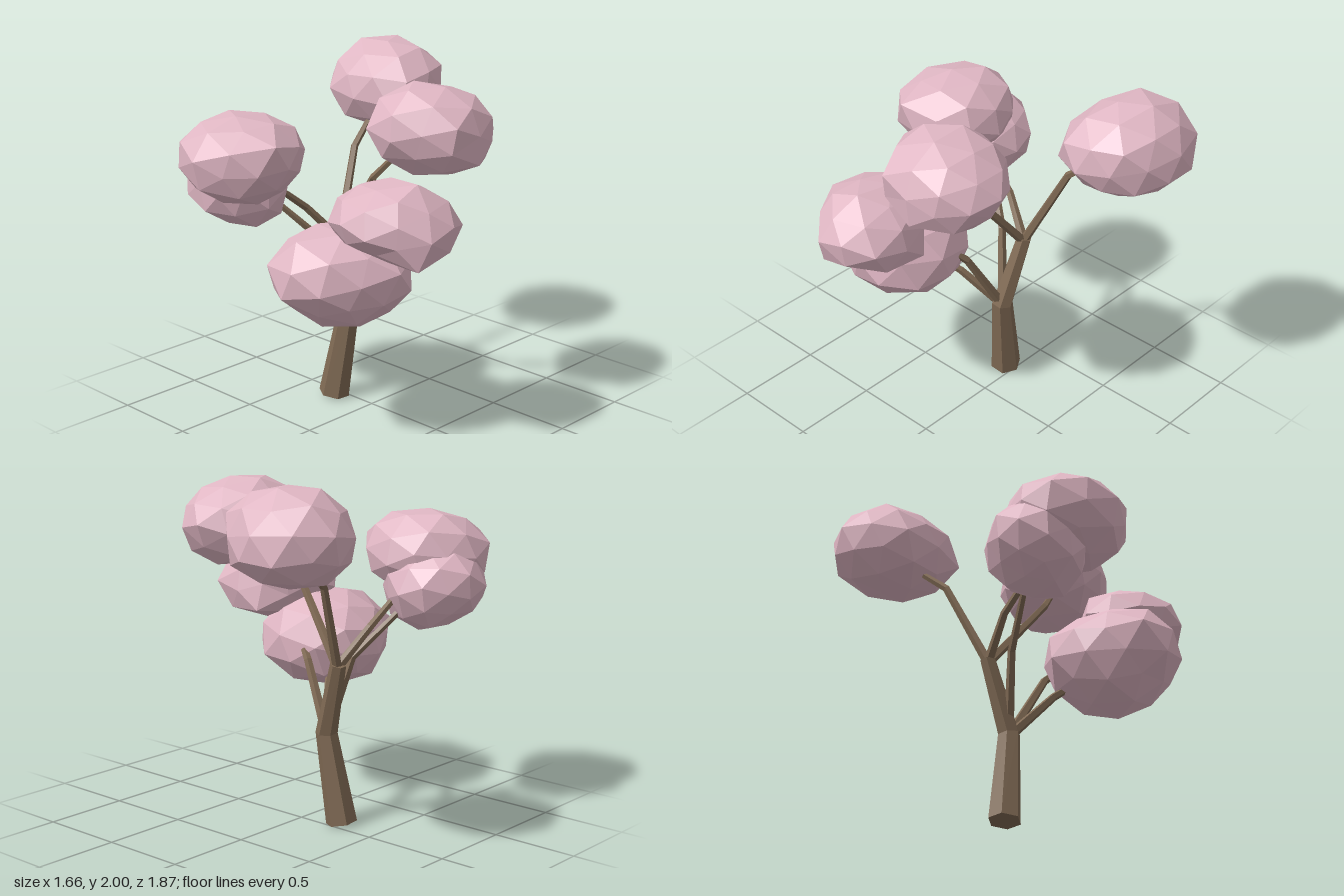
import * as THREE from 'three';
import { mergeVertices } from 'three/addons/utils/BufferGeometryUtils.js';

const bark = new THREE.MeshStandardMaterial({ name: 'bark', color: 0x806a54, flatShading: true });
const blossom = new THREE.MeshStandardMaterial({ name: 'blossom', color: 0xdfb6c3, flatShading: true });

function seeded(seed) {
  let s = seed * 7919 + 17;
  return () => (s = (s * 16807) % 2147483647) / 2147483647;
}

// Tapered faceted limb through a few points, each given as [x, y, z, radius]
function limb(name, points, sides) {
  const n = points.length - 1;
  const centres = points.map(([x, y, z]) => new THREE.Vector3(x, y, z));
  const geo = new THREE.CylinderGeometry(1, 1, n, sides, n);
  const pos = geo.attributes.position;
  const up = new THREE.Vector3(0, 1, 0);
  const turns = centres.map((c, i) => {
    const dir = centres[Math.min(i + 1, n)].clone().sub(centres[Math.max(i - 1, 0)]).normalize();
    return new THREE.Quaternion().setFromUnitVectors(up, dir);
  });
  const v = new THREE.Vector3();
  for (let k = 0; k < pos.count; k++) {
    v.fromBufferAttribute(pos, k);
    const i = Math.round(v.y + n / 2);
    v.y = 0;
    v.multiplyScalar(points[i][3]).applyQuaternion(turns[i]).add(centres[i]);
    pos.setXYZ(k, v.x, v.y, v.z);
  }
  const mesh = new THREE.Mesh(geo, bark);
  mesh.name = name;
  return mesh;
}

// Distance from the origin to a closed outline along the unit direction (a, b)
function reach(outline, a, b) {
  let far = 0;
  outline.forEach(([px, py], i) => {
    const [qx, qy] = outline[(i + 1) % outline.length];
    const ex = qx - px, ey = qy - py;
    const det = a * ey - b * ex;
    if (Math.abs(det) < 1e-9) return;
    const t = (px * ey - py * ex) / det;
    const s = (px * b - py * a) / det;
    if (s > -1e-6 && s < 1 + 1e-6) far = Math.max(far, t);
  });
  return far;
}

// Lumpy low-poly blossom cluster shaped by its outlines: front (x, y), side (z, y), top (x, z)
function cluster(name, seed, front, side, top) {
  const span = (outline, i) => {
    const c = outline.map((p) => p[i]);
    const lo = Math.min(...c), hi = Math.max(...c);
    return { mid: (lo + hi) / 2, half: (hi - lo) / 2 };
  };
  const X = span(front, 0), Y = span(front, 1), Z = span(side, 0);
  const unit = (outline, A, B) => outline.map(([a, b]) => [(a - A.mid) / A.half, (b - B.mid) / B.half]);
  const f = unit(front, X, Y), s = unit(side, Z, Y), t = unit(top, X, Z);

  let geo = new THREE.IcosahedronGeometry(1, 1);
  geo.deleteAttribute('uv');
  geo.deleteAttribute('normal');
  geo = mergeVertices(geo, 1e-3);
  geo.rotateY(seed * 1.3).rotateX(seed * 0.7);
  const rand = seeded(seed);
  const pos = geo.attributes.position;
  for (let k = 0; k < pos.count; k++) {
    const x = pos.getX(k), y = pos.getY(k), z = pos.getZ(k);
    // Each outline counts most for directions close to its own plane
    let sum = 0, weight = 0;
    for (const [outline, a, b] of [[f, x, y], [s, z, y], [t, x, z]]) {
      const flat = Math.hypot(a, b);
      if (flat < 0.1) continue;
      const w = flat ** 8;
      sum += w * Math.log(reach(outline, a / flat, b / flat));
      weight += w;
    }
    const r = Math.exp(sum / weight) * (1.03 + (rand() - 0.5) * 0.07);
    pos.setXYZ(k, X.mid + X.half * r * x, Y.mid + Y.half * r * y, Z.mid + Z.half * r * z);
  }
  geo.computeVertexNormals();
  const mesh = new THREE.Mesh(geo, blossom);
  mesh.name = name;
  return mesh;
}

export function createModel() {
  const tree = new THREE.Group();
  tree.name = 'blossomTree';

  // Crooked trunk with a fork at its bend and another at its top
  tree.add(limb('trunk', [
    [-0.25, 0.01, 0.06, 0.09], [-0.17, 0.53, 0.02, 0.063], [-0.295, 0.95, -0.03, 0.045],
  ], 6));

  // Branches
  const branches = {
    lowFrontBranch: [[-0.17, 0.52, 0.02, 0.03], [-0.02, 0.75, 0.21, 0.023], [0.12, 0.9, 0.4, 0.017]],
    lowLeftBranch: [[-0.17, 0.52, 0.02, 0.03], [0.04, 0.9, 0.1, 0.023], [0.36, 1.22, 0.28, 0.016]],
    lowRightBranch: [[-0.17, 0.52, 0.02, 0.03], [-0.27, 0.96, 0.12, 0.023], [-0.47, 1.28, 0.4, 0.016]],
    highFrontBranch: [[-0.29, 0.93, -0.03, 0.028], [-0.37, 1.14, 0.15, 0.022], [-0.42, 1.4, 0.48, 0.016]],
    highLeftBranch: [[-0.29, 0.93, -0.03, 0.028], [0.08, 1.39, 0.07, 0.021], [0.27, 1.6, 0, 0.015]],
    highBackBranch: [[-0.29, 0.93, -0.03, 0.028], [-0.39, 1.42, -0.26, 0.022], [-0.44, 1.62, -0.5, 0.016]],
  };
  for (const [name, points] of Object.entries(branches)) tree.add(limb(name, points, 5));

  // Blossom clusters at the branch ends
  tree.add(cluster('backCluster', 1,
    [[-0.83, 1.72], [-0.77, 1.86], [-0.67, 2], [-0.29, 1.97], [-0.12, 1.87], [-0.09, 1.68], [-0.2, 1.54], [-0.45, 1.46], [-0.72, 1.53]],
    [[-0.44, 1.96], [-0.82, 2], [-0.87, 1.84], [-0.94, 1.72], [-0.91, 1.58], [-0.6, 1.46], [-0.38, 1.52], [-0.28, 1.7]],
    [[-0.83, -0.72], [-0.69, -0.9], [-0.49, -0.94], [-0.2, -0.81], [-0.09, -0.48], [-0.24, -0.3], [-0.59, -0.28], [-0.77, -0.43]]));
  tree.add(cluster('frontRightCluster', 2,
    [[-0.76, 1.54], [-0.67, 1.69], [-0.56, 1.76], [-0.34, 1.76], [-0.03, 1.65], [-0.03, 1.52], [-0.18, 1.32], [-0.42, 1.26], [-0.68, 1.34]],
    [[0.93, 1.66], [0.57, 1.76], [0.35, 1.7], [0.24, 1.52], [0.35, 1.35], [0.6, 1.26], [0.71, 1.27], [0.91, 1.41]],
    [[-0.76, 0.75], [-0.53, 0.92], [-0.38, 0.93], [-0.2, 0.85], [-0.03, 0.73], [-0.03, 0.6], [-0.18, 0.33], [-0.38, 0.23], [-0.62, 0.35], [-0.77, 0.57]]));
  tree.add(cluster('lowRightCluster', 3,
    [[-0.83, 1.34], [-0.8, 1.49], [-0.6, 1.6], [-0.35, 1.55], [-0.25, 1.35], [-0.25, 1.2], [-0.34, 1.12], [-0.54, 1.09], [-0.72, 1.2]],
    [[0.78, 1.25], [0.72, 1.5], [0.5, 1.6], [0.3, 1.5], [0.22, 1.35], [0.3, 1.15], [0.5, 1.09], [0.7, 1.17]],
    [[-0.83, 0.6], [-0.8, 0.43], [-0.63, 0.22], [-0.43, 0.25], [-0.25, 0.4], [-0.28, 0.65], [-0.5, 0.78], [-0.76, 0.72]]));
  tree.add(cluster('lowFrontCluster', 4,
    [[-0.2, 0.99], [0, 1.2], [0.2, 1.25], [0.42, 1.18], [0.59, 1.07], [0.61, 0.97], [0.39, 0.71], [0.21, 0.67], [-0.03, 0.71], [-0.12, 0.86]],
    [[0.85, 0.99], [0.83, 1.13], [0.7, 1.21], [0.45, 1.25], [0.2, 1.18], [0.08, 1], [0.12, 0.86], [0.25, 0.71], [0.48, 0.67], [0.82, 0.88]],
    [[-0.18, 0.33], [-0.07, 0.17], [0.15, 0.08], [0.4, 0.12], [0.58, 0.3], [0.61, 0.45], [0.43, 0.7], [0.33, 0.82], [0.2, 0.84], [-0.02, 0.78]]));
  tree.add(cluster('leftCluster', 5,
    [[0.14, 1.28], [0.22, 1.44], [0.39, 1.5], [0.67, 1.52], [0.75, 1.43], [0.83, 1.28], [0.8, 1.09], [0.62, 1.05], [0.3, 1.12]],
    [[0.69, 1.33], [0.56, 1.45], [0.31, 1.53], [0.14, 1.42], [0.05, 1.29], [0.04, 1.13], [0.22, 1.05], [0.51, 1.15]],
    [[0.83, 0.2], [0.82, 0.43], [0.58, 0.68], [0.48, 0.69], [0.23, 0.57], [0.15, 0.45], [0.2, 0.25], [0.45, 0.08], [0.68, 0.05]]));
  tree.add(cluster('highLeftCluster', 6,
    [[0.03, 1.56], [0.1, 1.65], [0.09, 1.79], [0.21, 1.93], [0.44, 1.93], [0.7, 1.8], [0.71, 1.68], [0.67, 1.51], [0.4, 1.44], [0.2, 1.5]],
    [[0.26, 1.67], [0.23, 1.83], [0.1, 1.93], [-0.19, 1.92], [-0.38, 1.79], [-0.44, 1.68], [-0.34, 1.47], [-0.07, 1.43], [0.16, 1.5]],
    [[0.03, -0.09], [0.1, -0.28], [0.37, -0.44], [0.6, -0.38], [0.64, -0.25], [0.71, 0.05], [0.37, 0.26], [0.15, 0.22], [0.13, 0.08]]));
  return tree;
}
